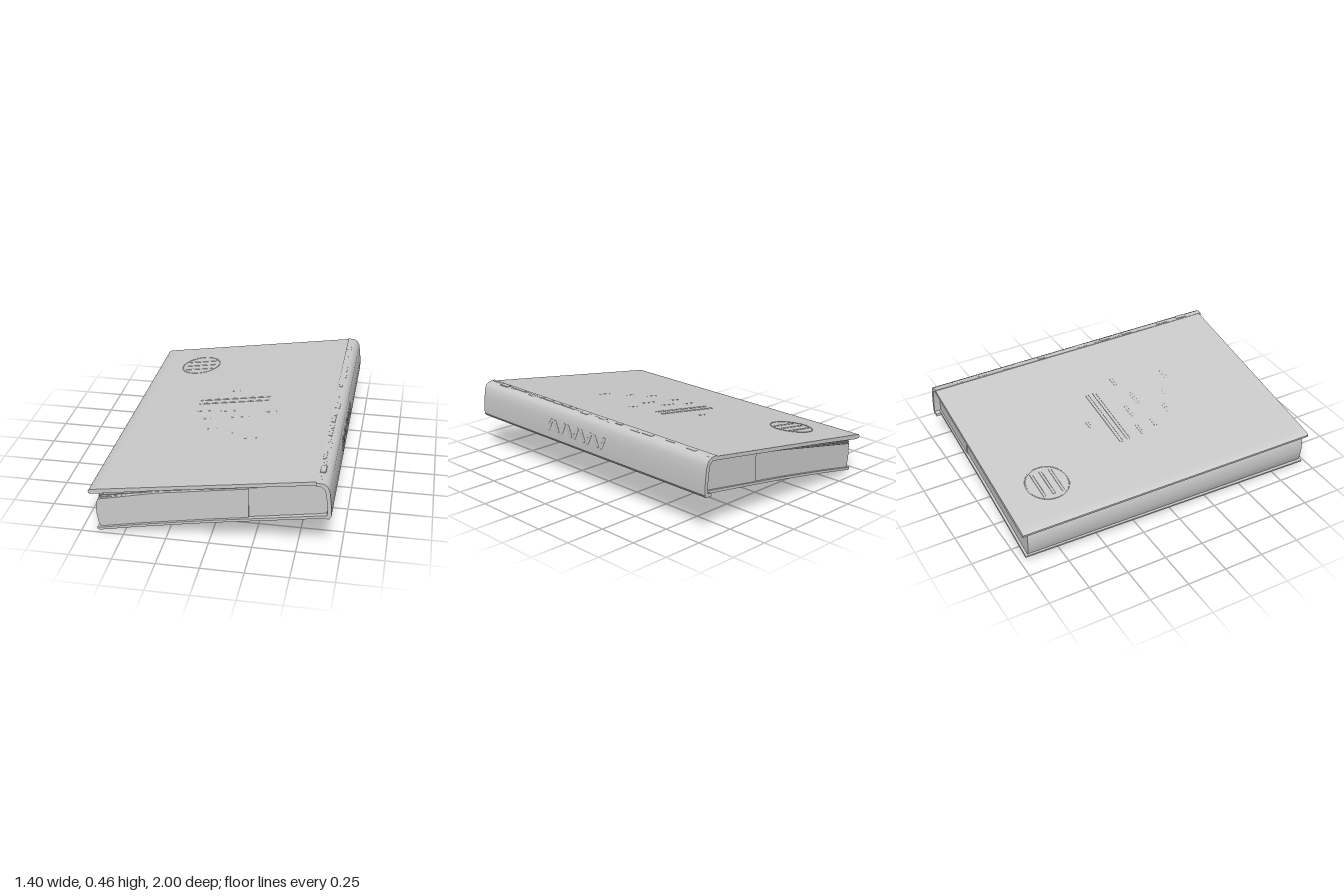
import * as THREE from 'three';
import { toCreasedNormals } from 'three/addons/utils/BufferGeometryUtils.js';

const mat = new THREE.MeshStandardMaterial({ color: 0xcccccc, roughness: 0.8 });
const clamp = THREE.MathUtils.clamp;

// Slight warp of the worn book: skewed fore-edge and a back corner lifted by `lift`
function warp(geo, lift) {
  const p = geo.attributes.position;
  for (let i = 0; i < p.count; i++) {
    const x = p.getX(i), z = p.getZ(i);
    const t = clamp((0.66 - x) / 1.32, 0, 1); // 0 at spine, 1 at fore-edge
    const u = clamp((0.98 - z) / 1.95, 0, 1); // 0 at front, 1 at back
    p.setX(i, x - 0.01 * z * t);
    p.setY(i, p.getY(i) + lift * u * (0.3 + 0.7 * t));
    p.setZ(i, z - 0.015 * t);
  }
  return toCreasedNormals(geo, 0.6);
}

// Cross-section in x/y swept from z0 to z1
function prism(name, pts, z0, z1, lift = 0) {
  const shape = new THREE.Shape(pts.map(([x, y]) => new THREE.Vector2(x, y)));
  const geo = new THREE.ExtrudeGeometry(shape, { depth: z1 - z0, bevelEnabled: false });
  geo.translate(0, 0, z0);
  const mesh = new THREE.Mesh(warp(geo, lift), mat);
  mesh.name = name;
  return mesh;
}

const topY = (x) => 0.365 + 0.1515 * x;
const offset = (pts, d) => pts.map(([x, y]) => [x, y + d]);
const under = [[-0.64, 0.0], [-0.4, 0.05], [0, 0.125], [0.3, 0.175], [0.66, 0.234]];

export function createModel() {
  const book = new THREE.Group();
  book.name = 'book';

  // Bottom cover, gently bowed, with a rounded lip at the fore-edge
  const lower = [[-0.65, 0.005], ...under, [0.66, 0.252], ...offset(under, 0.016).reverse().slice(1), [-0.652, 0.016]];
  book.add(prism('bottomCover', lower, -0.955, 0.99, 0.03));

  // Page block: fore part and a slightly recessed part near the spine
  book.add(prism('pages', [
    [-0.63, 0.012], [-0.4, 0.06], [0, 0.133], [0.23, 0.17],
    [0.23, 0.365], [-0.3, 0.278], [-0.645, 0.198], [-0.655, 0.17], [-0.655, 0.1], [-0.645, 0.04],
  ], -0.94, 0.975, 0.02));
  book.add(prism('pagesNearSpine', [
    [0.23, 0.17], [0.42, 0.2], [0.665, 0.245], [0.665, 0.36], [0.64, 0.425], [0.6, 0.432], [0.23, 0.365],
  ], -0.945, 0.965, 0.01));

  // Loose leaves fanning out under the raised cover
  for (let i = 0; i < 4; i++) {
    const y = 0.2 + i * 0.011, x = -0.64 - 0.003 * (i % 2);
    book.add(prism('looseLeaf', [
      [x, y], [0, 0.325 + i * 0.006], [0.6, 0.432 + i * 0.002],
      [0.6, 0.435 + i * 0.002], [0, 0.329 + i * 0.006], [x, y + 0.005],
    ], -0.95, 0.96 - 0.004 * i));
  }

  // Top cover with a rounded fore-edge
  book.add(prism('topCover', [
    [-0.695, 0.235], [-0.66, 0.236], [-0.3, 0.296], [0.62, 0.436], [0.62, topY(0.62)],
    [0, topY(0)], [-0.64, topY(-0.64)], [-0.685, topY(-0.685)], [-0.698, 0.25],
  ], -0.985, 0.98));

  // Spine shell, curving over into the top hinge
  book.add(prism('spine', [
    [0.64, 0.232], [0.68, 0.234], [0.691, 0.25], [0.69, 0.3], [0.685, 0.36], [0.677, 0.415],
    [0.663, 0.443], [0.64, 0.456], [0.6, 0.458], [0.6, 0.438], [0.632, 0.434],
    [0.652, 0.415], [0.662, 0.36], [0.668, 0.3], [0.668, 0.255], [0.64, 0.25],
  ], -0.985, 0.995, 0.008));

  // Cracked ridge along the hinge
  let seed = 7;
  const rand = () => (seed = (seed * 16807) % 2147483647) / 2147483647;
  for (let z = -0.97; z < 0.94;) {
    const len = 0.02 + 0.06 * rand(), w = 0.02 + 0.02 * rand();
    const h = 0.457 + 0.005 * rand();
    book.add(prism('hingeCrack', [
      [0.605, 0.445], [0.605 + w, 0.445], [0.603 + w, h], [0.61, h],
    ], z, z + len));
    z += len + 0.005 + 0.02 * rand();
  }

  // Shallow tooled ornament on a sloping cover
  function ornament(name, geo, x, y, z, slope) {
    const mesh = new THREE.Mesh(geo, mat);
    mesh.name = name;
    mesh.position.set(x, y, z);
    mesh.rotation.z = Math.atan(slope);
    book.add(mesh);
  }
  const ring = (r) => new THREE.TorusGeometry(r, 0.005, 6, 40).rotateX(Math.PI / 2);
  const bar = (w, d) => new THREE.CapsuleGeometry(d / 2, w, 3, 8).rotateZ(Math.PI / 2).scale(1, 0.3, 1);

  // Top cover: round medallion, double rule and scattered worn marks
  ornament('topMedallion', ring(0.13), -0.39, topY(-0.39) - 0.003, -0.7, 0.1515);
  for (const z of [-0.76, -0.7, -0.64])
    ornament('medallionRule', bar(0.18, 0.018), -0.39, topY(-0.39), z, 0.1515);
  for (const z of [-0.135, -0.085])
    ornament('coverRule', bar(0.44, 0.022), -0.05, topY(-0.05), z, 0.1515);
  for (const [x, z, w] of [[-0.06, -0.25, 0.04], [-0.22, 0.02, 0.08], [-0.05, 0.04, 0.1], [0.22, 0.08, 0.06],
    [-0.2, 0.13, 0.07], [0.03, 0.13, 0.1], [-0.13, 0.27, 0.08], [0, 0.34, 0.06], [0.15, 0.42, 0.08]])
    ornament('wornMark', bar(w, 0.02), x, topY(x) - 0.001, z, 0.1515);

  // Bottom cover: round medallion and a long raised panel by the fore-edge
  ornament('bottomMedallion', ring(0.12), -0.15, 0.115, -0.6, 0.185);
  ornament('bottomMedallionInner', ring(0.08), -0.15, 0.115, -0.6, 0.185);
  ornament('bottomPanel', new THREE.BoxGeometry(0.11, 0.008, 0.46), -0.55, 0.035, 0.05, 0.2);

  // Row of raised ribs on the spine
  for (let i = 0; i < 9; i++) {
    const rib = new THREE.Mesh(new THREE.CapsuleGeometry(0.012, 0.06, 3, 8).scale(0.4, 1, 1), mat);
    rib.name = 'spineRib';
    rib.position.set(0.686, 0.335, -0.16 + i * 0.06);
    rib.rotation.set(i % 2 ? 0.5 : -0.4, 0, 0.07);
    book.add(rib);
  }
  return book;
}
